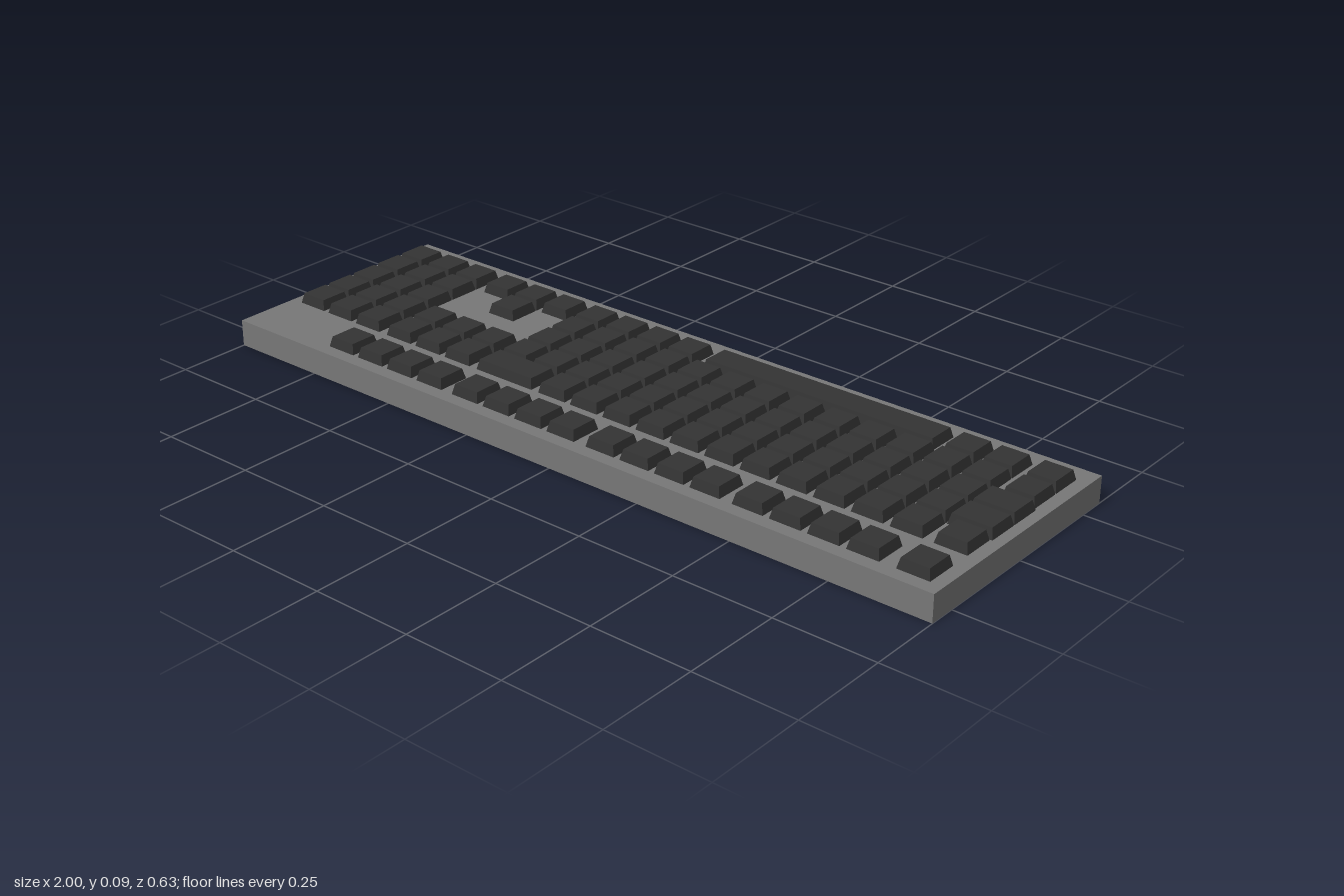
import * as THREE from 'three';

const BASE_H = 0.066, KEY_H = 0.025, KEY_W = 0.08, KEY_D = 0.081, INSET = 0.006, PITCH = 0.0963;

// Keycap: a box whose top edges are pulled inward by a fixed amount
function keycap(width) {
  const g = new THREE.BoxGeometry(width, KEY_H, KEY_D).toNonIndexed();
  const p = g.attributes.position;
  for (let i = 0; i < p.count; i++) {
    if (p.getY(i) > 0) {
      p.setX(i, p.getX(i) - Math.sign(p.getX(i)) * INSET);
      p.setZ(i, p.getZ(i) - Math.sign(p.getZ(i)) * INSET);
    }
  }
  g.computeVertexNormals();
  return g;
}

export function createModel() {
  const keyboard = new THREE.Group();
  keyboard.name = 'keyboard';
  const caseMaterial = new THREE.MeshStandardMaterial({ color: 0x777777 });
  const keyMaterial = new THREE.MeshStandardMaterial({ color: 0x333333, flatShading: true });

  const base = new THREE.Mesh(new THREE.BoxGeometry(2, BASE_H, 0.635), caseMaterial);
  base.name = 'case';
  base.position.y = BASE_H / 2;
  keyboard.add(base);

  const section = (name) => {
    const g = new THREE.Group();
    g.name = name;
    keyboard.add(g);
    return g;
  };
  const standard = keycap(KEY_W);
  const addKey = (parent, name, x, z, width = KEY_W) => {
    const key = new THREE.Mesh(width === KEY_W ? standard : keycap(width), keyMaterial);
    key.name = name;
    key.position.set(x, BASE_H + KEY_H / 2, z);
    parent.add(key);
  };
  const addRun = (parent, name, x, z, count) => {
    for (let i = 0; i < count; i++) addKey(parent, name, x + i * PITCH, z);
  };

  const functionZ = 0.243;
  const rows = [0.111, 0.0275, -0.056, -0.141, -0.2255]; // number row to space row
  const mainX = -0.334, navX = -0.63, padX = -0.929, edgeX = 0.928;
  const column = (i) => mainX + i * PITCH;

  // Function row: four blocks of four, plus the corner key
  const functionKeys = section('functionKeys');
  for (const x of [-0.687, -0.285, 0.118, 0.519]) addRun(functionKeys, 'functionKey', x, functionZ, 4);
  addKey(functionKeys, 'escapeKey', edgeX, functionZ);

  // Number pad
  const numberPad = section('numberPad');
  for (const z of rows) addRun(numberPad, 'padKey', padX, z, 3);

  // Navigation block and arrows
  const navigation = section('navigationKeys');
  for (const z of [rows[0], rows[1]]) addRun(navigation, 'navigationKey', navX, z, 3);
  addKey(navigation, 'upArrowKey', navX + PITCH, rows[3]);
  addRun(navigation, 'arrowKey', navX, rows[4], 3);

  // Main block
  const main = section('mainKeys');
  addKey(main, 'backspaceKey', -0.288, rows[0], 0.172);
  addRun(main, 'numberKey', column(2), rows[0], 11);
  for (const z of rows.slice(1, 4)) addRun(main, 'letterKey', mainX, z, 13);
  addRun(main, 'modifierKey', mainX, rows[4], 4);
  addKey(main, 'spaceBar', 0.344, rows[4], 0.636);
  addRun(main, 'modifierKey', column(11), rows[4], 2);

  // Outer column, with two wider keys
  for (const z of [rows[0], rows[3], rows[4]]) addKey(main, 'edgeKey', edgeX, z);
  for (const z of [rows[1], rows[2]]) addKey(main, 'wideEdgeKey', 0.919, z, 0.108);

  return keyboard;
}
